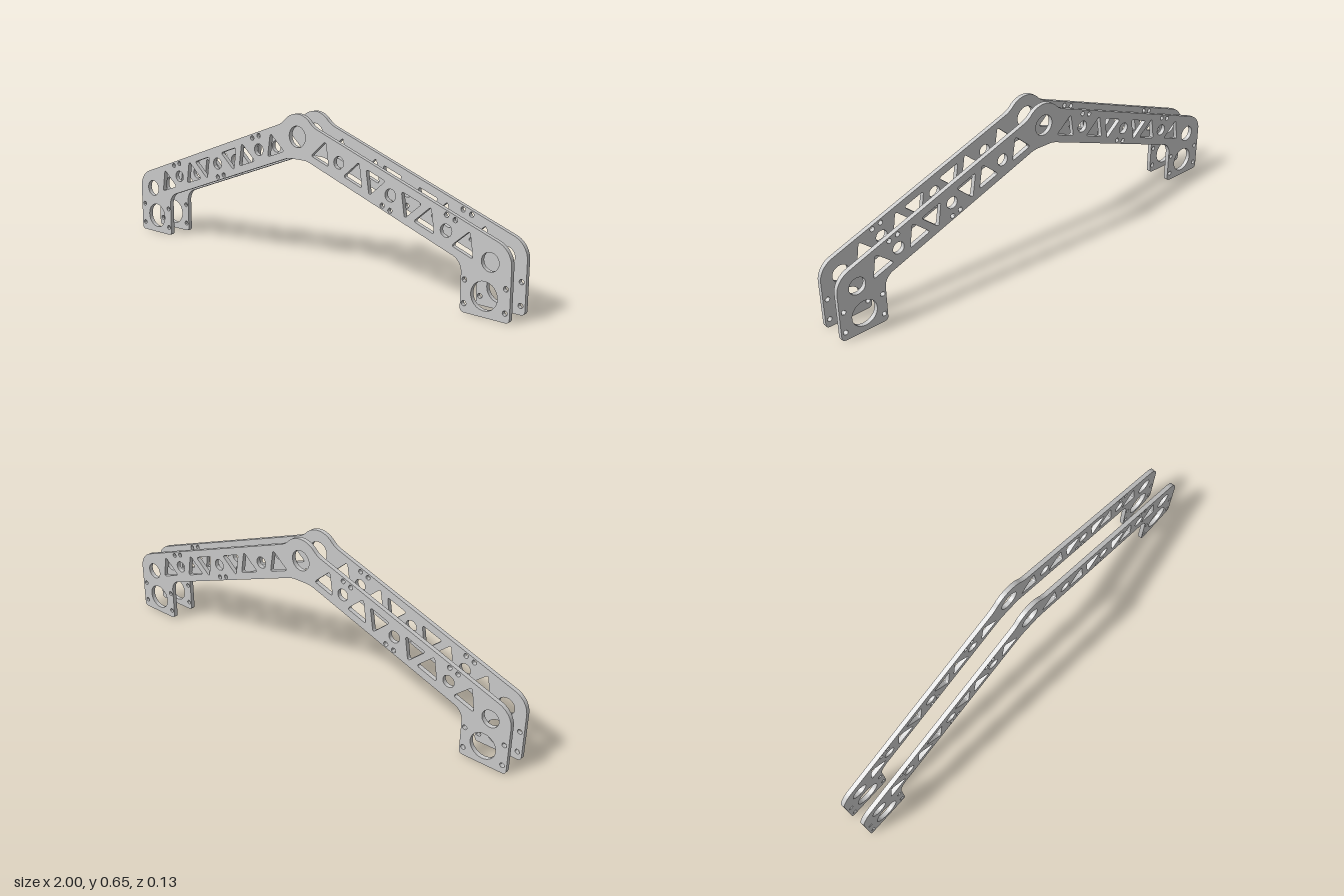
import * as THREE from 'three';
import { toCreasedNormals } from 'three/addons/utils/BufferGeometryUtils.js';

const TILT = THREE.MathUtils.degToRad(20);
const THICK = 0.019;
const PITCH = 0.09; // spacing of the truss cut-outs along an arm

// Point on an arm: u runs outward along it, v across it; side is +1 or -1
function armPoint(side, u, v) {
  return new THREE.Vector2(
    side * (0.472 + u * Math.cos(TILT) + v * Math.sin(TILT)),
    0.384 - u * Math.sin(TILT) + v * Math.cos(TILT));
}

function circle(x, y, r) {
  const p = new THREE.Path();
  p.absarc(x, y, r, 0, Math.PI * 2, false);
  return p;
}

// Polygon cut-out with softened corners
function roundedPolygon(points, r) {
  const p = new THREE.Path();
  points.forEach((c, i) => {
    const prev = points[(i + points.length - 1) % points.length];
    const next = points[(i + 1) % points.length];
    const a = c.clone().add(prev.clone().sub(c).setLength(r));
    const b = c.clone().add(next.clone().sub(c).setLength(r));
    if (i === 0) p.moveTo(a.x, a.y); else p.lineTo(a.x, a.y);
    p.quadraticCurveTo(c.x, c.y, b.x, b.y);
  });
  p.closePath();
  return p;
}

// Right half of the outline, from the bottom centre round to the hub top
function halfOutline() {
  const p = new THREE.Path();
  p.moveTo(0, 0.462);
  p.lineTo(0.03, 0.462);
  p.quadraticCurveTo(0.05, 0.462, 0.069, 0.455);
  p.lineTo(0.7555, 0.205);
  p.absarc(0.735, 0.149, 0.06, Math.PI / 2 - TILT, 0, true);
  p.lineTo(0.795, 0.018);
  p.quadraticCurveTo(0.795, 0, 0.813, 0);
  p.lineTo(0.982, 0);
  p.quadraticCurveTo(1, 0, 1, 0.018);
  p.absarc(0.913, 0.207, 0.087, 0, Math.PI / 2 - TILT, false);
  p.lineTo(0.115, 0.591);
  p.quadraticCurveTo(0.086, 0.6, 0.066, 0.621);
  p.absarc(0, 0.555, 0.0935, Math.PI / 4, Math.PI / 2, false);
  return p.getPoints(10);
}

function plateShape() {
  const half = halfOutline();
  const mirrored = half.slice(1, -1).reverse().map(q => new THREE.Vector2(-q.x, q.y));
  const shape = new THREE.Shape([...half, ...mirrored]);

  shape.holes.push(circle(0, 0.555, 0.044)); // hub bore
  for (const side of [1, -1]) {
    // Foot: large bore, elbow bore and four bolt holes
    shape.holes.push(circle(side * 0.894, 0.08, 0.055), circle(side * 0.914, 0.21, 0.036));
    for (const x of [0.811, 0.981])
      for (const y of [0.035, 0.125]) shape.holes.push(circle(side * x, y, 0.01));

    // Truss: alternating triangles, every third slot being a round hole
    for (let slot = -4; slot <= 4; slot++) {
      const u = slot * PITCH;
      const flip = slot % 2 === 0 ? -1 : 1;
      if (slot % 3 === 0) {
        const c = armPoint(side, u, 0);
        shape.holes.push(circle(c.x, c.y, 0.025));
        // Bolt pairs beside the round holes
        if (slot === -3 && side === 1) continue;
        for (const du of [-0.02, 0.02]) {
          const b = armPoint(side, u + du, 0.056 * (slot === 0 ? -1 : 1));
          shape.holes.push(circle(b.x, b.y, 0.01));
        }
      } else {
        // Even slots point up, odd slots point down
        const tri = [[-0.05, 0.04], [0.05, 0.04], [0, -0.05]]
          .map(([a, v]) => armPoint(side, u + a, v * flip));
        shape.holes.push(roundedPolygon(tri, 0.014));
      }
    }
  }
  return shape;
}

export function createModel() {
  const group = new THREE.Group();
  group.name = 'archFrame';
  const material = new THREE.MeshStandardMaterial({ color: 0xcccccc });
  const extruded = new THREE.ExtrudeGeometry(plateShape(), {
    depth: THICK, bevelEnabled: false, curveSegments: 16,
  });
  const geometry = toCreasedNormals(extruded, 0.6);

  // Two identical plates with a gap between them
  for (const [name, z] of [['frontPlate', 0.0545], ['backPlate', -0.0545]]) {
    const plate = new THREE.Mesh(geometry, material);
    plate.name = name;
    plate.position.z = z - THICK / 2;
    group.add(plate);
  }
  return group;
}
